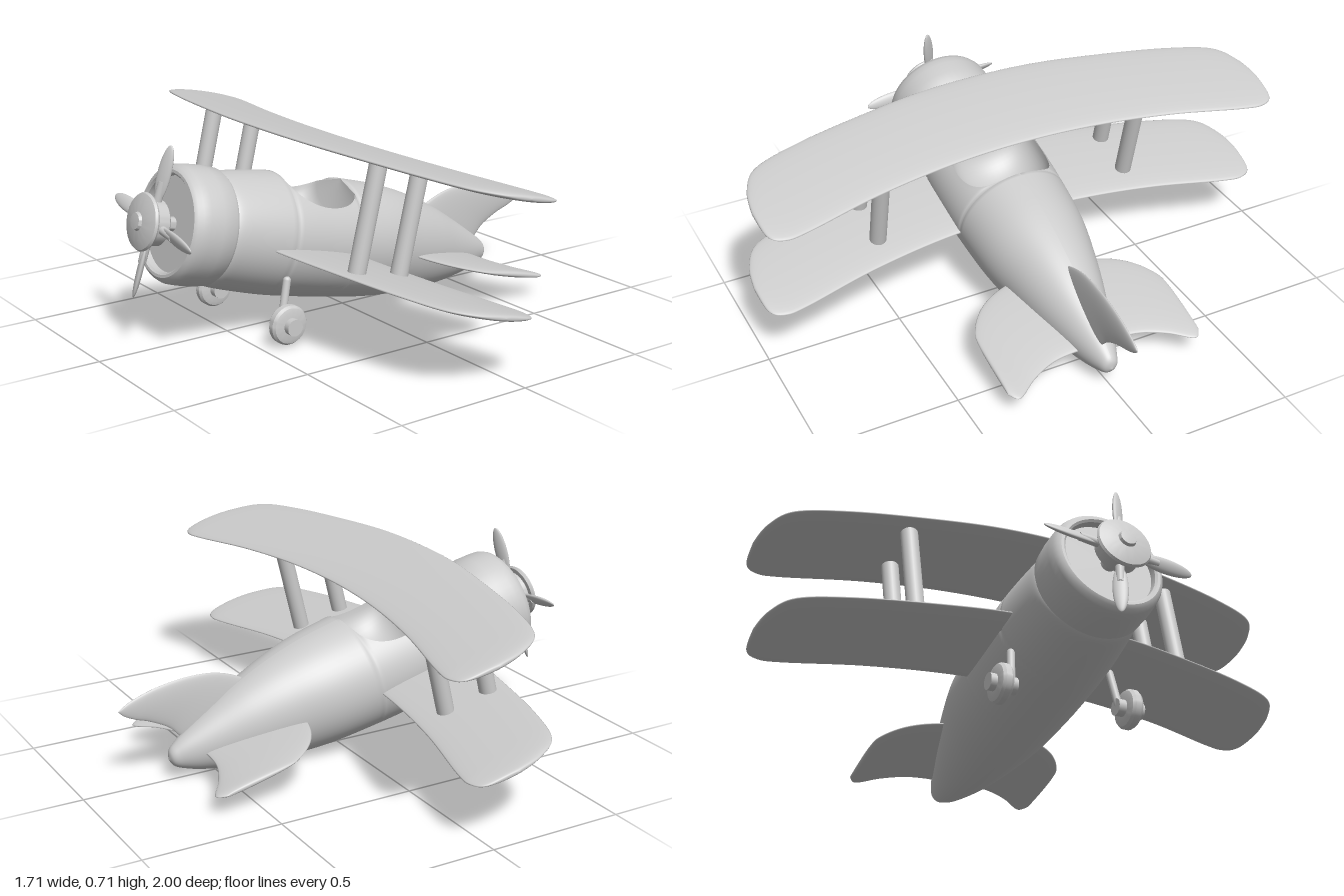
import * as THREE from 'three';
import { toCreasedNormals } from 'three/addons/utils/BufferGeometryUtils.js';

const mat = new THREE.MeshStandardMaterial({ color: 0xcccccc, side: THREE.DoubleSide });
const V2 = ([x, y]) => new THREE.Vector2(x, y);

function add(parent, name, geo, x = 0, y = 0, z = 0) {
  const mesh = new THREE.Mesh(geo, mat);
  mesh.name = name;
  mesh.position.set(x, y, z);
  parent.add(mesh);
  return mesh;
}

// Skin over a list of rings, each a list of [x, y, z]
function loft(rings, closed) {
  const n = rings[0].length, index = [];
  for (let i = 0; i < rings.length - 1; i++) {
    for (let j = 0; j < (closed ? n : n - 1); j++) {
      const k = (j + 1) % n, a = i * n + j, b = i * n + k;
      index.push(a, b, a + n, b, b + n, a + n);
    }
  }
  const geo = new THREE.BufferGeometry();
  geo.setAttribute('position', new THREE.Float32BufferAttribute(rings.flat(2), 3));
  geo.setIndex(index);
  geo.computeVertexNormals();
  return geo;
}

// Lens-section surface between a leading and a trailing edge, points are [chord, span]
function foil(lead, trail, thick, mirrored) {
  const both = (p) => [...p.slice(1).reverse().map(([x, z]) => [x, -z]), ...p];
  const curve = (p) => new THREE.SplineCurve((mirrored ? both(p) : p).map(V2));
  const L = curve(lead), T = curve(trail), steps = mirrored ? 96 : 48, n = 32, rings = [];
  const chordMax = trail[0][0] - lead[0][0];
  for (let i = 0; i <= steps; i++) {
    const a = L.getPoint(i / steps), b = T.getPoint(i / steps);
    const h = (thick / 2) * Math.sqrt(Math.min(1, a.distanceTo(b) / chordMax));
    rings.push(Array.from({ length: n }, (_, j) => {
      const f = (j / n) * Math.PI * 2, p = a.clone().lerp(b, (1 - Math.cos(f)) / 2);
      return [p.x, -h * Math.sin(f), p.y];
    }));
  }
  return loft(rings, true);
}

// Turned part along x; profile runs from back to front as [x, radius]
function turned(profile, crease = 0.6) {
  const geo = new THREE.LatheGeometry(profile.map(([x, r]) => new THREE.Vector2(r, -x)), 48);
  return toCreasedNormals(geo.rotateZ(Math.PI / 2), crease);
}

// Body stations: [x, top, bottom, half width]
const stations = [
  [-0.6, 0.18, -0.195, 0.188], [-0.55, 0.197, -0.21, 0.203], [-0.36, 0.214, -0.225, 0.22],
  [-0.2, 0.216, -0.226, 0.222], [-0.06, 0.212, -0.223, 0.217], [0.108, 0.204, -0.215, 0.202],
  [0.25, 0.182, -0.198, 0.172], [0.38, 0.148, -0.174, 0.138], [0.5, 0.104, -0.14, 0.1],
  [0.6, 0.063, -0.102, 0.066], [0.66, 0.035, -0.07, 0.042], [0.69, 0.014, -0.047, 0.026],
  [0.702, -0.017, -0.019, 0.001],
];

function buildFuselage(plane) {
  const spline = (pick) => new THREE.CatmullRomCurve3(
    stations.map((s) => new THREE.Vector3(...pick(s))), false, 'catmullrom', 0.5);
  const heights = spline(([x, t, b]) => [x, t, b]);
  const widths = spline(([x, , , w]) => [x, w, 0]);
  const steps = 144, n = 64, rings = [], open = [];
  for (let i = 0; i <= steps; i++) {
    const { x, y: top, z: bottom } = heights.getPoint(i / steps);
    const w = widths.getPoint(i / steps).y;
    const cy = (top + bottom) / 2, ry = (top - bottom) / 2;
    // the skin parts along the top around the cockpit
    const s = (x + 0.21) / 0.15;
    const dip = Math.sqrt(Math.max(0, 1 - s * s));
    const a0 = Math.acos(Math.min(1, (top - 0.085 * dip - cy) / ry));
    open.push(dip);
    rings.push(Array.from({ length: n + 1 }, (_, j) => {
      const a = a0 + (2 * Math.PI - 2 * a0) * (j / n);
      return [x, cy + ry * Math.cos(a), w * Math.sin(a)];
    }));
  }
  add(plane, 'fuselage', loft(rings, false));

  // Cockpit tub hung between the two edges of the opening
  const tub = [];
  rings.forEach((ring, i) => {
    if (!(open[i] || open[i - 1] || open[i + 1])) return;
    const [x, y, z] = ring[0];
    tub.push(Array.from({ length: 25 }, (_, j) => {
      const f = (j / 24) * Math.PI;
      return [x, y - 0.14 * Math.sqrt(open[i]) * Math.sin(f), -z * Math.cos(f)];
    }));
  });
  add(plane, 'cockpit', loft(tub, false));
}

function buildNose(plane) {
  add(plane, 'cowling', turned([
    [-0.582, 0], [-0.582, 0.185], [-0.586, 0.197], [-0.598, 0.205], [-0.65, 0.208], [-0.7, 0.207],
    [-0.728, 0.204], [-0.746, 0.196], [-0.755, 0.184], [-0.755, 0.174], [-0.748, 0.167],
    [-0.725, 0.165], [-0.725, 0],
  ]));

  const propeller = new THREE.Group();
  propeller.name = 'propeller';
  plane.add(propeller);
  add(propeller, 'shaft', turned([[-0.7, 0.025], [-0.8, 0.025]]));
  add(propeller, 'hub', turned([
    [-0.775, 0], [-0.775, 0.07], [-0.782, 0.078], [-0.83, 0.078], [-0.832, 0.095], [-0.84, 0.1],
    [-0.848, 0.095], [-0.858, 0.065], [-0.862, 0.032], [-0.872, 0.028], [-0.875, 0],
  ]));
  for (let i = 0; i < 4; i++) {
    const arm = new THREE.Group();
    arm.name = 'propellerArm';
    arm.rotation.x = 0.13 + (i * Math.PI) / 2;
    propeller.add(arm);
    const blade = add(arm, 'blade', new THREE.SphereGeometry(1, 24, 24), -0.805, 0.172, 0);
    blade.scale.set(0.011, 0.1, 0.026);
    blade.rotation.y = 0.5;
    add(arm, 'bladeRoot', new THREE.CylinderGeometry(0.014, 0.016, 0.09, 16), -0.805, 0.1, 0);
  }
}

function buildWings(plane) {
  const wing = foil(
    [[-0.446, 0], [-0.435, 0.24], [-0.394, 0.5], [-0.343, 0.74], [-0.281, 0.915], [-0.188, 0.98], [-0.085, 1]],
    [[-0.07, 0], [-0.055, 0.29], [-0.01, 0.58], [0.057, 0.85], [0.066, 0.94], [0.028, 0.988], [-0.085, 1]],
    0.03, true);
  add(plane, 'upperWing', wing, 0, 0.357, 0);
  add(plane, 'lowerWing', wing, 0, -0.027, 0);
  for (const side of [-1, 1]) {
    for (const x of [-0.315, -0.135]) {
      add(plane, 'wingStrut', new THREE.CylinderGeometry(0.031, 0.031, 0.375, 24), x, 0.165, side * 0.512);
    }
  }
}

function buildTail(plane) {
  add(plane, 'tailplane', foil(
    [[0.2, 0], [0.23, 0.18], [0.283, 0.29], [0.365, 0.36], [0.447, 0.38], [0.66, 0.378]],
    [[0.588, 0], [0.588, 0.1], [0.6, 0.18], [0.637, 0.265], [0.69, 0.345], [0.66, 0.378]],
    0.03, true), 0, -0.022, 0);
  const fin = add(plane, 'tailFin', foil(
    [[0.26, 0.06], [0.354, 0.154], [0.448, 0.215], [0.558, 0.246], [0.675, 0.256], [0.771, 0.247], [0.822, 0.23]],
    [[0.6, -0.02], [0.636, 0.047], [0.666, 0.095], [0.725, 0.146], [0.77, 0.175], [0.805, 0.204], [0.822, 0.23]],
    0.032, false), 0, 0, 0.012);
  fin.rotation.x = -Math.PI / 2;
}

function buildLandingGear(plane) {
  // Wheel profile across its width, turned about z
  const tyre = [[0.024, 0], [0.024, 0.05], [0.02, 0.063], [0.01, 0.07],
    [-0.01, 0.07], [-0.02, 0.063], [-0.024, 0.05], [-0.024, 0]];
  for (const side of [-1, 1]) {
    const gear = new THREE.Group();
    gear.name = side > 0 ? 'leftGear' : 'rightGear';
    gear.position.set(-0.35, -0.272, 0);
    gear.scale.z = side;
    plane.add(gear);
    add(gear, 'wheel', turned(tyre), 0, 0, 0.243).rotation.y = Math.PI / 2;
    add(gear, 'axle', new THREE.CylinderGeometry(0.03, 0.03, 0.1, 24).rotateX(Math.PI / 2), 0, 0, 0.24);
    const leg = add(gear, 'leg', new THREE.CapsuleGeometry(0.014, 0.145, 6, 16), 0, 0.07, 0.197);
    leg.rotation.x = -0.1;
  }
}

export function createModel() {
  const model = new THREE.Group();
  model.name = 'biplane';
  // Whole aircraft sits nose-up, nose toward -x
  const plane = new THREE.Group();
  plane.name = 'aircraft';
  plane.position.y = 0.263;
  plane.rotation.z = -0.237;
  model.add(plane);
  buildFuselage(plane);
  buildNose(plane);
  buildWings(plane);
  buildTail(plane);
  buildLandingGear(plane);
  return model;
}
